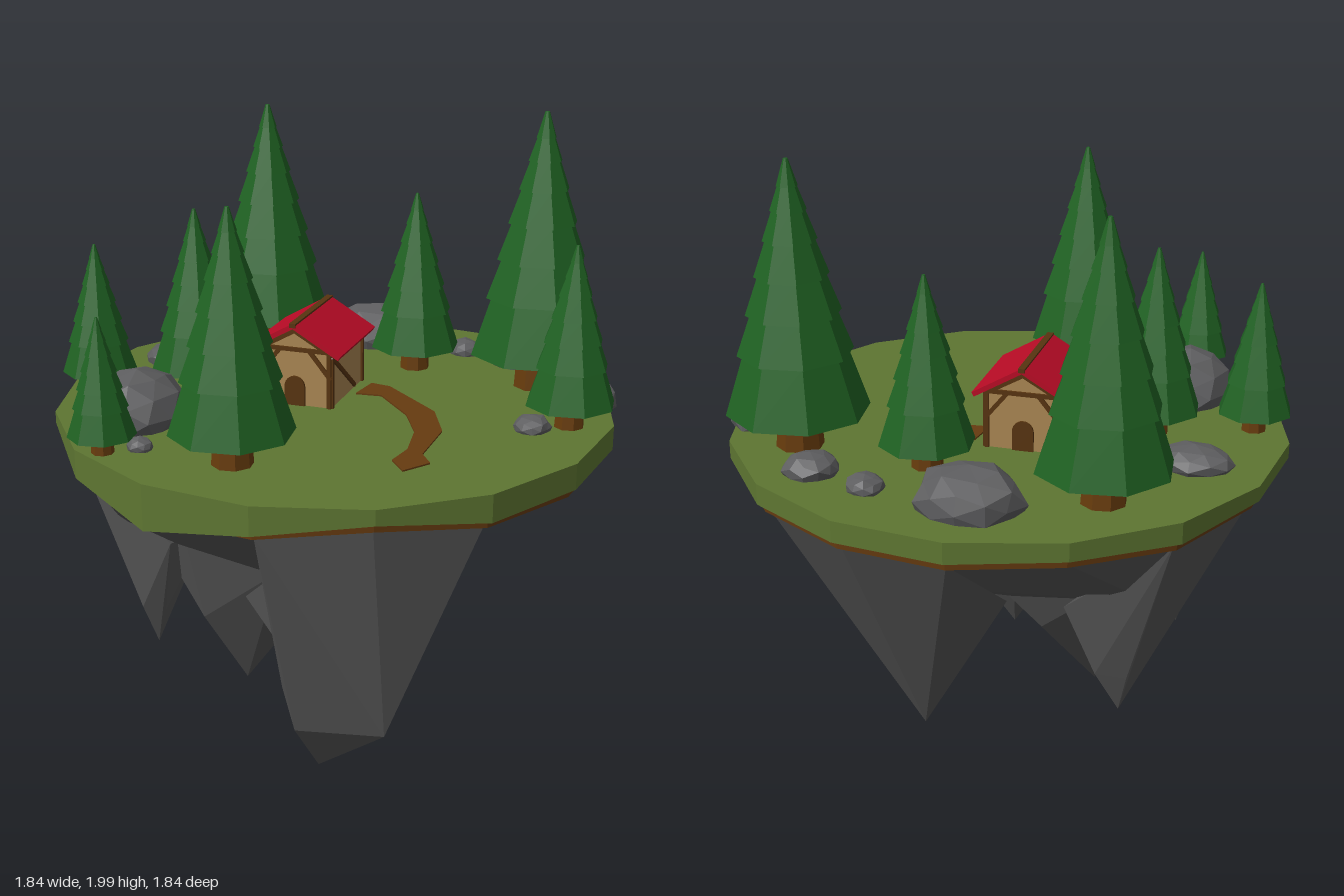
import * as THREE from 'three';
import { ConvexGeometry } from 'three/addons/geometries/ConvexGeometry.js';

const GROUND = 1.07;
const mat = (name, color) => {
  const m = new THREE.MeshStandardMaterial({ color });
  m.name = name;
  return m;
};

// Facet a geometry so every face is flat
function facet(geo) {
  const g = geo.index ? geo.toNonIndexed() : geo;
  g.computeVertexNormals();
  return g;
}

function add(parent, name, geo, material, x = 0, y = 0, z = 0) {
  const m = new THREE.Mesh(facet(geo), material);
  m.name = name;
  m.position.set(x, y, z);
  parent.add(m);
  return m;
}

export function createModel() {
  const M = {
    grass: mat('grass', 0x5e7632),
    dirt: mat('dirt', 0x663b10),
    rock: mat('island rock', 0x555555),
    boulder: mat('boulder stone', 0x5d5d5f),
    leaf: mat('pine needles', 0x1f6122),
    trunk: mat('trunk bark', 0x683c0d),
    wall: mat('plaster wall', 0xa98652),
    timber: mat('timber', 0x573410),
    roof: mat('red roof', 0xb80b25),
  };
  const model = new THREE.Group();
  model.name = 'floatingIsland';

  // Lower edge of the turf at each of the 16 rim corners, starting at +x towards +z
  const edge = [0.985, 0.98, 1.02, 0.975, 0.92, 0.975, 1.03, 1.02, 1.02, 1.0, 1.01, 1.0, 1.0, 1.0, 1.01, 0.99];
  const dirtEdge = edge.map((y) => Math.max(y - 0.03, 0.955));
  function slab(r, rBottom, top, bottoms) {
    const g = new THREE.CylinderGeometry(r, rBottom, 0.1, 16, 1);
    const p = g.attributes.position;
    for (let i = 0; i < p.count; i++) {
      if (p.getY(i) > 0) { p.setY(i, top); continue; }
      const x = p.getX(i), z = p.getZ(i);
      const k = (Math.round(Math.atan2(z, x) / (Math.PI / 8)) + 16) % 16;
      p.setY(i, Math.hypot(x, z) < 0.1 ? 1 : bottoms[k]);
    }
    return g;
  }
  add(model, 'turf', slab(0.92, 0.92, GROUND, edge), M.grass);
  add(model, 'dirtLayer', slab(0.9, 0.895, 1.05, dirtEdge), M.dirt);

  // Rock underside: a central mass and five hanging spikes
  const rim = (k) => new THREE.Vector3(
    0.88 * Math.cos(k * Math.PI / 8), dirtEdge[k] + 0.005, 0.88 * Math.sin(k * Math.PI / 8));
  const hull = (name, rims, pts) =>
    add(model, name, new ConvexGeometry([...rims.map(rim), ...pts.map((p) => new THREE.Vector3(...p))]), M.rock);

  hull('rockCore', edge.map((_, k) => k), [
    [-0.64, 0.66, -0.16], [-0.61, 0.68, 0.28], [-0.51, 0.66, 0.5], [-0.25, 0.65, 0.5], [0.13, 0.65, 0.48],
    [0.09, 0.5, 0.14], [-0.2, 0.5, 0.1], [-0.1, 0.5, -0.13], [0, 0.6, -0.36],
  ]);
  hull('frontSpike', [1, 2, 3], [
    [0.14, 0.64, 0.42], [0.1, 0.36, 0.42], [0.1, 0.36, 0.37], [0.14, 0.24, 0.46], [0.34, 0.24, 0.64],
    [0.58, 0.24, 0.5], [0.44, 0.24, 0.38], [0.24, 0.24, 0.39], [0.29, 0.01, 0.46], [0.09, 0.5, 0.15],
  ]);
  hull('middleSpike', [], [
    [-0.51, 0.68, 0.42], [0.13, 0.65, 0.46], [-0.25, 0.65, 0.48], [0.09, 0.5, 0.13], [-0.08, 0.5, -0.13],
    [-0.45, 0.62, -0.15], [-0.37, 0.34, 0.26], [-0.26, 0.34, 0.39], [-0.06, 0.34, 0.3], [-0.08, 0.37, 0.06],
    [-0.18, 0.38, -0.07], [-0.32, 0.37, 0], [-0.22, 0.05, 0.22],
  ]);
  hull('spikeSaddle', [], [
    [0.1, 0.36, 0.38], [0.1, 0.36, 0.42], [-0.06, 0.34, 0.29], [-0.08, 0.38, 0.1], [0.14, 0.64, 0.46],
    [-0.2, 0.64, 0.42], [-0.1, 0.52, -0.05], [0.09, 0.5, 0.14],
  ]);
  hull('backSpike', [11, 12, 13, 14], [
    [0.15, 0.64, -0.36], [-0.25, 0.64, -0.38], [-0.1, 0.36, -0.5], [0, 0.43, -0.58],
    [0.1, 0.36, -0.5], [0, 0.37, -0.43], [0, 0.16, -0.49],
  ]);
  hull('rightSpike', [8, 9], [
    [-0.64, 0.66, -0.16], [-0.4, 0.62, -0.05], [-0.4, 0.62, -0.28], [-0.61, 0.52, -0.17], [-0.59, 0.38, -0.2],
    [-0.59, 0.38, -0.12], [-0.49, 0.36, -0.1], [-0.49, 0.38, -0.23], [-0.54, 0.23, -0.16],
  ]);
  hull('leftFrontSpike', [6], [
    [-0.53, 0.72, 0.5], [-0.51, 0.66, 0.52], [-0.3, 0.64, 0.5], [-0.32, 0.62, 0.3], [-0.52, 0.66, 0.36],
    [-0.48, 0.44, 0.46], [-0.42, 0.38, 0.52], [-0.37, 0.36, 0.46], [-0.42, 0.38, 0.4], [-0.41, 0.23, 0.46],
  ]);

  // Pines: x, z, height
  const pines = [
    [-0.585, -0.36, 0.87], [0.443, -0.54, 0.93], [0.735, -0.265, 0.59], [0.005, -0.445, 0.62],
    [-0.435, 0.195, 0.62], [-0.7, 0.395, 0.5], [0.105, 0.635, 0.785], [-0.268, 0.81, 0.43],
  ];
  const tiers = [0.13, 0.34, 0.48, 0.61, 0.73, 0.83, 0.91, 1];
  const spread = (f) => {
    const u = (f - 0.13) / 0.89;
    return 0.248 * (1 - u) * (1 + 0.2 * u);
  };
  for (const [x, z, h] of pines) {
    const tree = new THREE.Group();
    tree.name = 'pineTree';
    tree.position.set(x, GROUND, z);
    tree.rotation.y = 0.06;
    add(tree, 'trunk', new THREE.CylinderGeometry(0.07 * h, 0.083 * h, 0.2 * h, 8), M.trunk, 0, 0.1 * h, 0);
    for (let t = 0; t < tiers.length - 1; t++) {
      const a = tiers[t], b = tiers[t + 1];
      const top = b === 1 ? 0.008 : spread(b) * 0.9;
      add(tree, 'branchTier', new THREE.CylinderGeometry(top * h, spread(a) * h, (b - a) * h, 8),
        M.leaf, 0, (a + b) / 2 * h, 0);
    }
    model.add(tree);
  }

  // Boulders: x, z, half width, half depth, top, turn
  const boulders = [
    [-0.28, -0.62, 0.17, 0.14, 1.21, 0.3], [-0.38, 0.54, 0.15, 0.17, 1.24, 0], [-0.68, 0.025, 0.13, 0.095, 1.14, 0.3],
    [0.055, -0.69, 0.062, 0.06, 1.12, 0], [0.27, -0.69, 0.09, 0.08, 1.14, 0.4], [0.66, -0.44, 0.1, 0.14, 1.17, -0.5],
    [0.66, -0.165, 0.06, 0.06, 1.12, 0], [-0.17, 0.41, 0.065, 0.055, 1.13, -0.4], [-0.2, 0.72, 0.045, 0.04, 1.11, 0],
  ];
  boulders.forEach(([x, z, w, d, top, turn], i) => {
    const g = new THREE.IcosahedronGeometry(1, 1);
    const p = g.attributes.position;
    const v = new THREE.Vector3();
    for (let k = 0; k < p.count; k++) {
      v.fromBufferAttribute(p, k);
      v.multiplyScalar(1 + 0.09 * Math.sin(v.x * 5 + i) * Math.cos(v.z * 4 + v.y * 3 + i * 2));
      p.setXYZ(k, v.x, v.y, v.z);
    }
    const ry = (top - GROUND) / 1.3;
    g.scale(w, ry, d);
    add(model, 'boulder', g, M.boulder, x, GROUND + 0.3 * ry, z).rotation.y = turn;
  });

  // Winding path
  const path = [
    [0.0, -0.2], [0.07, -0.21], [0.33, -0.1], [0.45, 0.03], [0.515, 0.23], [0.575, 0.275], [0.545, 0.375],
    [0.47, 0.325], [0.455, 0.225], [0.385, 0.09], [0.275, -0.02], [0.1, -0.12], [0.02, -0.085],
  ];
  const pathGeo = new THREE.ExtrudeGeometry(
    new THREE.Shape(path.map(([x, z]) => new THREE.Vector2(x, -z))), { depth: 0.009, bevelEnabled: false });
  add(model, 'path', pathGeo.rotateX(-Math.PI / 2), M.dirt, 0, GROUND - 0.004, 0);

  // Cottage, gables facing local +z and -z
  const house = new THREE.Group();
  house.name = 'cottage';
  house.position.set(-0.125, GROUND, -0.03);
  house.rotation.y = 0.32;
  model.add(house);
  const W = 0.125, L = 0.155, eave = 0.192, ridge = 0.265;
  const body = new THREE.Shape([[-W, 0], [W, 0], [W, eave], [0, ridge], [-W, eave]].map((p) => new THREE.Vector2(...p)));
  add(house, 'walls', new THREE.ExtrudeGeometry(body, { depth: 2 * L, bevelEnabled: false }), M.wall, 0, 0, -L);

  // Roof slopes and ridge beam
  const slope = Math.atan2(ridge - eave, W);
  for (const s of [-1, 1]) {
    const r = add(house, 'roofSlope', new THREE.BoxGeometry(0.16 / Math.cos(slope), 0.016, 0.355), M.roof,
      s * 0.08, ridge + 0.01 - 0.08 * Math.tan(slope), 0);
    r.rotation.z = -s * slope;
  }
  add(house, 'ridgeBeam', new THREE.BoxGeometry(0.022, 0.014, 0.359), M.timber, 0, ridge + 0.012, 0);

  // Timber strips laid on each wall plane
  function panel(x, z, turn) {
    const g = new THREE.Group();
    g.name = 'timberFrame';
    g.position.set(x, 0, z);
    g.rotation.y = turn;
    house.add(g);
    return g;
  }
  function beam(parent, x1, y1, x2, y2) {
    const b = add(parent, 'beam', new THREE.BoxGeometry(Math.hypot(x2 - x1, y2 - y1), 0.014, 0.009), M.timber,
      (x1 + x2) / 2, (y1 + y2) / 2, 0.003);
    b.rotation.z = Math.atan2(y2 - y1, x2 - x1);
  }
  const arch = new THREE.Shape();
  arch.moveTo(-0.035, 0).lineTo(0.035, 0).lineTo(0.035, 0.065).absarc(0, 0.065, 0.035, 0, Math.PI, false);
  for (const s of [-1, 1]) {
    const gable = panel(0, s * L, s > 0 ? 0 : Math.PI);
    const side = panel(s * W, 0, s * Math.PI / 2);
    for (const t of [-1, 1]) {
      beam(gable, t * (W - 0.006), 0, t * (W - 0.006), eave);
      beam(gable, t * W, eave - 0.008, 0, ridge - 0.01);
      beam(gable, t * W, 0.1, t * 0.05, eave);
      beam(side, t * (L - 0.006), 0, t * (L - 0.006), eave);
    }
    beam(gable, -W, eave, W, eave);
    beam(side, -L, eave - 0.012, L, eave - 0.012);
    beam(side, -s * L, eave - 0.015, s * 0.07, 0.01);
    add(gable, 'archedDoor', new THREE.ExtrudeGeometry(arch, { depth: 0.008, bevelEnabled: false, curveSegments: 6 }),
      M.timber, 0, 0, 0);
  }
  return model;
}
